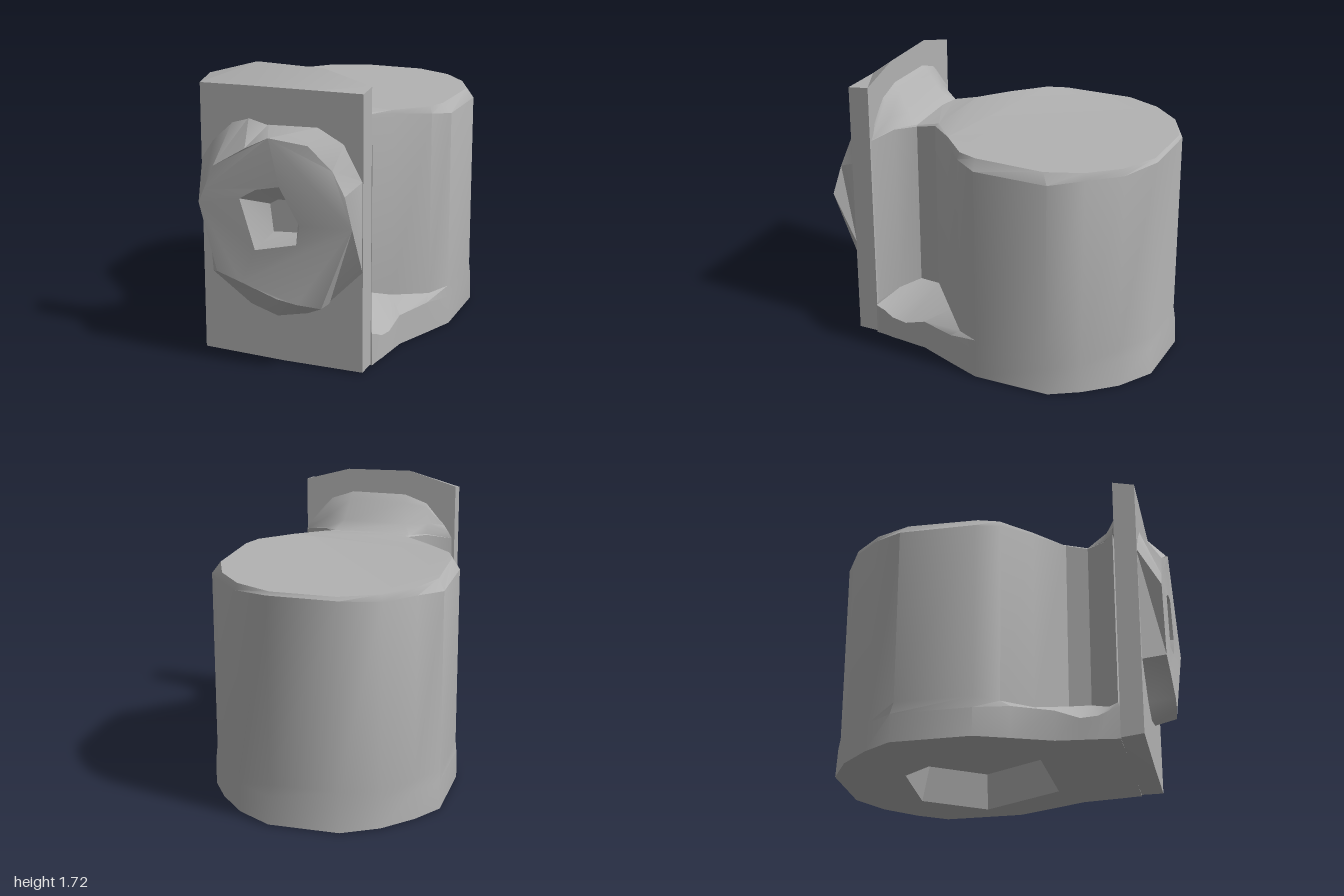
import * as THREE from 'three';
import { toCreasedNormals } from 'three/addons/utils/BufferGeometryUtils.js';

const gray = new THREE.MeshStandardMaterial({ color: 0xb2b2b2, side: THREE.DoubleSide });

// Joins successive cross-sections with quads; returns a flat triangle list of points.
function skin(rings, closed = true) {
  const tris = [];
  for (let i = 0; i + 1 < rings.length; i++) {
    const lo = rings[i], hi = rings[i + 1], n = lo.length;
    for (let j = 0; j < (closed ? n : n - 1); j++) {
      const k = (j + 1) % n;
      tris.push(lo[j], lo[k], hi[k], lo[j], hi[k], hi[j]);
    }
  }
  return tris;
}

// Fills an outline, with optional holes, facing along +/- the given axis.
function cap(ring, axis, sign, holes = []) {
  const flat = (p) => new THREE.Vector2(p[0], axis === 'y' ? p[2] : p[1]);
  const all = [ring, ...holes].flat();
  const faces = THREE.ShapeUtils.triangulateShape(ring.map(flat), holes.map((h) => h.map(flat)));
  return faces.flatMap((f) => {
    const [a, b, c] = f.map((i) => new THREE.Vector3(...all[i]));
    const normal = b.sub(a).cross(c.sub(a));
    const order = normal[axis] * sign > 0 ? f : [f[0], f[2], f[1]];
    return order.map((i) => all[i]);
  });
}

function part(name, tris, crease = 0.6) {
  const geometry = new THREE.BufferGeometry();
  geometry.setAttribute('position', new THREE.Float32BufferAttribute(tris.flat(), 3));
  const mesh = new THREE.Mesh(toCreasedNormals(geometry, crease), gray);
  mesh.name = name;
  return mesh;
}

// Full outline from the +x half, listed back to front.
const mirror = (half) => [...[...half].reverse(), ...half.map(([x, y, z]) => [-x, y, z])];
const atZ = (pts, z) => pts.map(([x, y]) => [x, y, z]);

function createBody() {
  // Half sections: foot, rim of the base ledge, foot of the wall, top of the wall, top face
  const foot = [[0.21, -1], [0.42, -0.88], [0.58, -0.71], [0.69, -0.54], [0.695, -0.07],
    [0.62, 0.13], [0.53, 0.36], [0.515, 0.5], [0.505, 0.6], [0.495, 0.66], [0.49, 0.72]]
    .map(([x, z]) => [x, 0.01, z]);
  const rimY = [0.18, 0.18, 0.18, 0.18, 0.18, 0.2, 0.19, 0.14, 0.15, 0.18, 0.2];
  const rim = foot.map(([x, , z], i) => [x * 0.995, rimY[i], i < 3 ? z + 0.01 : z]);
  const wallXZ = [[0.205, -0.98], [0.42, -0.87], [0.575, -0.7], [0.685, -0.52], [0.685, -0.07],
    [0.61, 0.07], [0.43, 0.23], [0.26, 0.4], [0.25, 0.53], [0.33, 0.64], [0.48, 0.71]];
  const wallY = [0.25, 0.25, 0.25, 0.25, 0.25, 0.24, 0.26, 0.32, 0.32, 0.27, 0.23];
  const topY = [1.37, 1.35, 1.35, 1.33, 1.33, 1.35, 1.37, 1.37, 1.34, 1.33, 1.3];
  const wallLow = wallXZ.map(([x, z], i) => [x, wallY[i], z]);
  const wallTop = wallXZ.map(([x, z], i) => [x, topY[i], z]);
  const top = [[0.19, -0.965], [0.41, -0.86], [0.56, -0.69], [0.645, -0.48], [0.635, -0.06],
    [0.595, 0.06], [0.42, 0.23], [0.25, 0.38], [0.24, 0.53], [0.32, 0.65], [0.48, 0.71]]
    .map(([x, z], i) => [x, i < 7 ? 1.39 : [1.385, 1.35, 1.34, 1.3][i - 7], z]);

  // Six-sided recess in the underside
  const mouth = [[0.3, 0.24], [0.55, -0.25], [0.31, -0.61], [-0.15, -0.59], [-0.41, -0.23], [-0.26, 0.23]]
    .map(([x, z]) => [x, 0.01, z]);
  const recessFloor = mouth.map(([x, , z]) => [0.07 + (x - 0.07) * 0.88, 0.22, -0.2 + (z + 0.2) * 0.88]);

  const sections = [foot, rim, wallLow, wallTop, top].map(mirror);
  return part('body', [
    ...skin(sections),
    ...cap(sections[0], 'y', -1, [mouth]),
    ...skin([recessFloor, mouth]),
    ...cap(recessFloor, 'y', -1),
    ...cap(mirror(top.slice(0, 8)), 'y', 1),
    ...cap(mirror(top.slice(7)), 'y', 1),
  ]);
}

function createPlate() {
  // Upright slab with a sloping, peaked top edge
  const back = atZ([[-0.495, 0.015], [0, 0.005], [0.48, 0.015], [0.48, 1.63], [0.2, 1.71], [-0.2, 1.72], [-0.495, 1.635]], 0.72);
  const front = atZ([[-0.495, 0.03], [0, 0.015], [0.48, 0.015], [0.48, 1.615], [0.2, 1.613], [-0.2, 1.61], [-0.495, 1.605]], 0.85);
  return part('frontPlate', [...skin([back, front]), ...cap(back, 'z', -1), ...cap(front, 'z', 1)], 0.4);
}

function createFillet() {
  // Curved web joining the neck to the back of the plate
  const row = (pts) => [...pts, ...pts.map(([x, y, z]) => [-x, y, z]).reverse()];
  return part('neckFillet', skin([
    row([[0.48, 1.3, 0.71], [0.33, 1.335, 0.64], [0.24, 1.35, 0.53]]),
    row([[0.46, 1.34, 0.705], [0.33, 1.4, 0.67], [0.2, 1.4, 0.61]]),
    row([[0.43, 1.38, 0.715], [0.32, 1.49, 0.705], [0.18, 1.52, 0.68]]),
    row([[0.42, 1.39, 0.725], [0.31, 1.52, 0.725], [0.17, 1.57, 0.725]]),
  ], false), 0.9);
}

function createBoss() {
  // Rough round boss, anticlockwise from its lower left
  const root = atZ([[-0.44, 0.5], [-0.2, 0.33], [-0.04, 0.28], [0.14, 0.32], [0.28, 0.4], [0.478, 0.6],
    [0.478, 1.13], [0.37, 1.33], [0.22, 1.41], [-0.08, 1.4], [-0.2, 1.43], [-0.3, 1.4], [-0.42, 1.29], [-0.493, 1.18]], 0.845);
  const face = [[-0.35, 0.555, 0.98], [-0.2, 0.51, 0.985], [0.02, 0.44, 0.99], [0.14, 0.42, 0.985], [0.28, 0.41, 0.97],
    [0.475, 0.9, 1], [0.42, 1.07, 0.97], [0.34, 1.2, 0.95], [0.2, 1.33, 0.96], [-0.02, 1.36, 0.99],
    [-0.16, 1.29, 0.99], [-0.36, 1.17, 0.98], [-0.42, 1.03, 0.98], [-0.455, 0.95, 0.98]];
  const mouth = atZ([[-0.2, 1.0], [-0.11, 0.71], [0.14, 0.77], [0.16, 0.88], [0.04, 1.09], [-0.1, 1.06]], 0.985);
  const floor = atZ([[-0.07, 0.95], [-0.05, 0.79], [0.1, 0.8], [0.1, 0.87], [0.05, 0.98], [-0.02, 0.98]], 0.86);
  return part('frontBoss', [
    ...skin([root, face]),
    ...cap(face, 'z', 1, [mouth]),
    ...skin([mouth, floor]),
    ...cap(floor, 'z', 1),
  ], 0.5);
}

export function createModel() {
  const model = new THREE.Group();
  model.name = 'model';
  model.add(createBody(), createPlate(), createFillet(), createBoss());
  return model;
}
